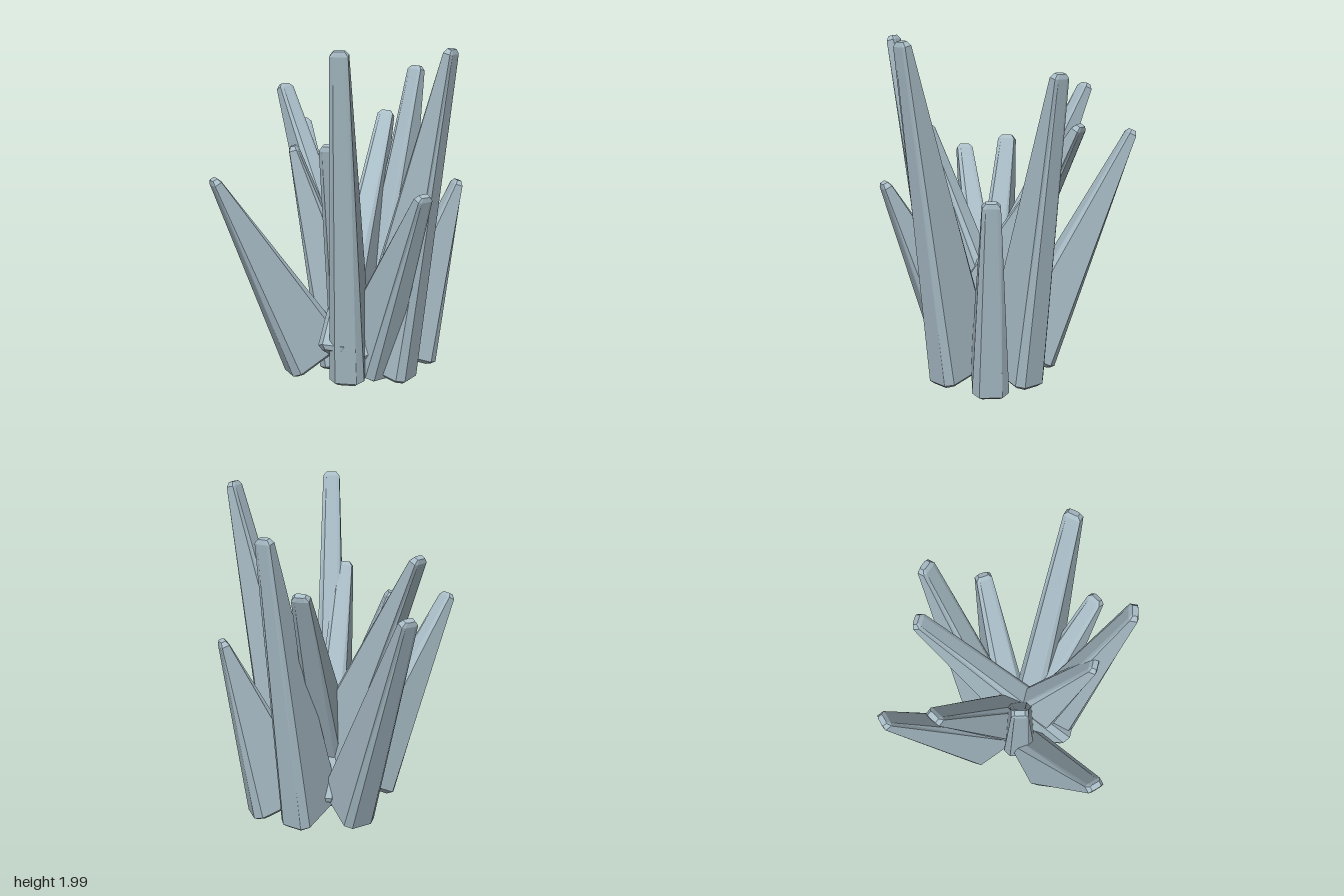
import * as THREE from 'three';

// Tip centre (x, y, z), base centre (x, z), half depth of the base, extra height of the base
const SHARDS = [
  { name: 'frontShard', tip: [-0.11, 1.26, 0.72], foot: [0.015, 0.095] },
  { name: 'tallFrontLeftShard', tip: [0.52, 1.995, 0.31], foot: [0.19, -0.03] },
  { name: 'backLeftShard', tip: [0.36, 1.165, -0.71], foot: [0.22, -0.385], depth: 0.22 },
  { name: 'backShard', tip: [-0.04, 1.825, -0.71], foot: [0.05, -0.325] },
  { name: 'backRightShard', tip: [-0.22, 1.53, -0.62], foot: [0.21, 0.05], lift: 0.05 },
  { name: 'lowRightShard', tip: [-0.74, 1.445, -0.33], foot: [-0.11, -0.17], depth: 0.18 },
  { name: 'highRightShard', tip: [-0.57, 1.705, -0.07], foot: [0.22, -0.1] },
  { name: 'tallLeftShard', tip: [0.7, 1.99, -0.32], foot: [0.3, -0.185] },
  { name: 'lowLeftShard', tip: [0.74, 1.205, -0.11], foot: [0.2, -0.12] },
  { name: 'innerRightShard', tip: [-0.15, 1.39, 0.15], foot: [0.1, -0.12] },
  { name: 'innerLeftShard', tip: [0.34, 1.465, 0.25], foot: [0.07, -0.16] },
];

// Tapered bar along +z with a chamfered rectangular section and bevelled ends
function shardGeometry(length, width, depth, tipWidth, tipDepth) {
  const bevel = 0.025;
  const rings = [
    [0, width * 0.75, depth * 0.9],
    [bevel, width, depth],
    [length - bevel, tipWidth, tipDepth],
    [length, tipWidth * 0.6, tipDepth * 0.6],
  ];
  const section = [
    [1, -0.8], [1, 0.8], [0.62, 1], [-0.62, 1],
    [-1, 0.8], [-1, -0.8], [-0.62, -1], [0.62, -1],
  ];
  const n = section.length;
  const points = [];
  const index = [];
  for (const [z, w, d] of rings) {
    for (const [x, y] of section) points.push(x * w, y * d, z);
  }
  for (let i = 0; i < rings.length - 1; i++) {
    for (let j = 0; j < n; j++) {
      const a = i * n + j;
      const b = i * n + ((j + 1) % n);
      index.push(a, b, b + n, a, b + n, a + n);
    }
  }
  // End caps
  const top = (rings.length - 1) * n;
  for (let j = 1; j < n - 1; j++) {
    index.push(0, j + 1, j, top, top + j, top + j + 1);
  }
  const indexed = new THREE.BufferGeometry();
  indexed.setAttribute('position', new THREE.Float32BufferAttribute(points, 3));
  indexed.setIndex(index);
  const geometry = indexed.toNonIndexed();
  geometry.computeVertexNormals();
  return geometry;
}

// Leaning shard with its base square to its own axis and the lowest corner near the ground
function makeShard({ name, tip, foot, depth = 0.2, lift = 0 }, material) {
  const end = new THREE.Vector3(...tip);
  const base = new THREE.Vector3(foot[0], 0, foot[1]);
  const out = new THREE.Vector3(end.x - base.x, 0, end.z - base.z);
  const lean = Math.atan2(out.length(), end.y - 0.1);
  base.y = 0.005 + lift + depth * Math.sin(lean);
  out.normalize();

  const axis = end.clone().sub(base);
  const length = axis.length();
  axis.normalize();
  const side = new THREE.Vector3(-out.z, 0, out.x);
  const face = axis.clone().cross(side);

  const geometry = shardGeometry(length, 0.104, depth, 0.05, 0.027);
  geometry.applyMatrix4(new THREE.Matrix4().makeBasis(side, face, axis).setPosition(base));
  const mesh = new THREE.Mesh(geometry, material);
  mesh.name = name;
  return mesh;
}

export function createModel() {
  const model = new THREE.Group();
  model.name = 'crystalCluster';
  const crystal = new THREE.MeshStandardMaterial({ color: 0xaabec8 });
  crystal.name = 'pale blue grey';
  for (const shard of SHARDS) model.add(makeShard(shard, crystal));
  return model;
}
